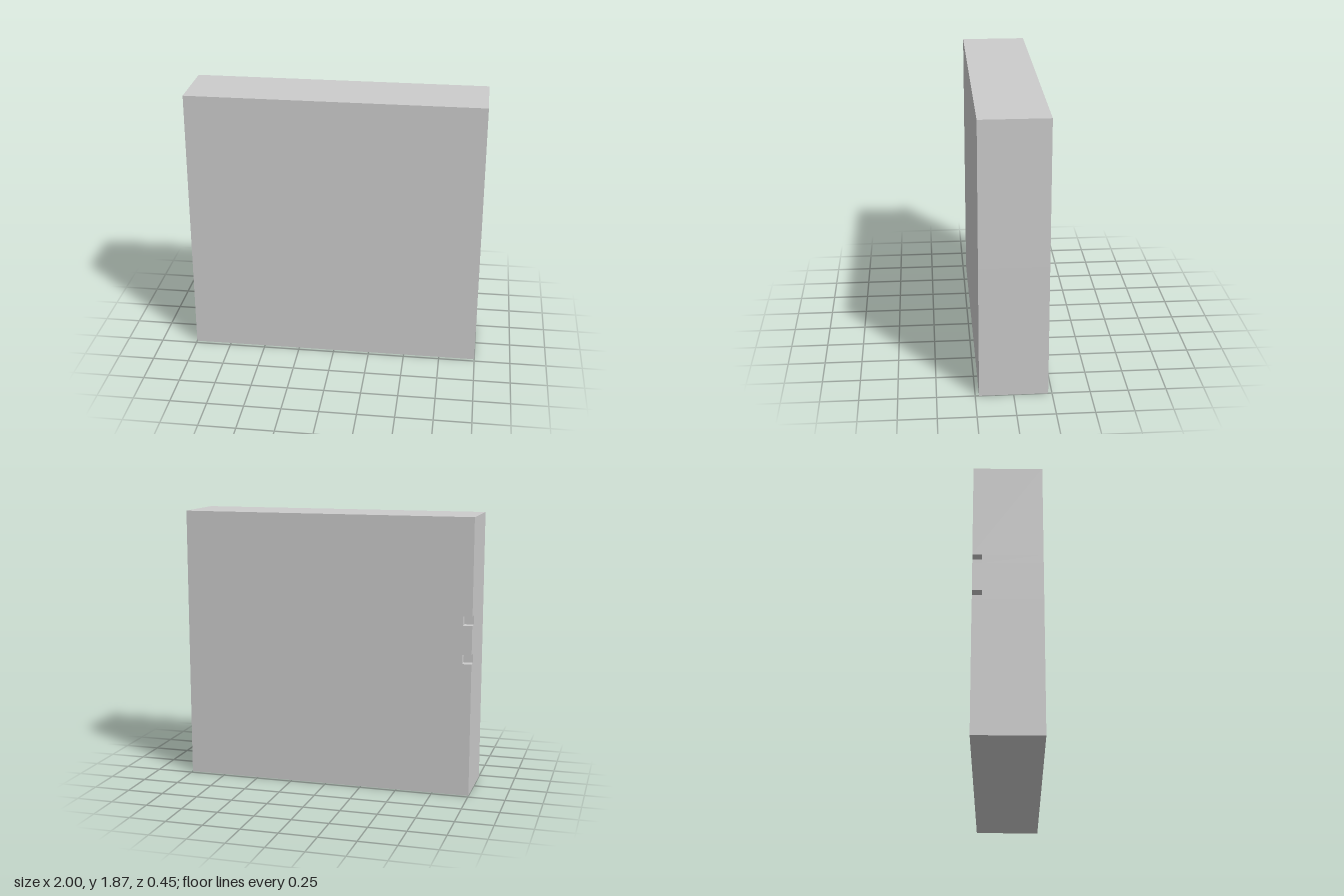
import * as THREE from 'three';

const W = 1, D = 0.225, H = 1.87; // half width, half depth, height
const N = 0.0625;                 // notch size
const NOTCHES = [0.903, 1.16];    // bottom heights of the corner notches

export function createModel() {
  const pos = [];
  const quad = (a, b, c, d) => pos.push(...a, ...b, ...c, ...a, ...c, ...d);

  // Upright walls around a footprint, between two heights
  const walls = (ring, y0, y1) => ring.forEach(([ax, az], i) => {
    const [bx, bz] = ring[(i + 1) % ring.length];
    quad([ax, y0, az], [bx, y0, bz], [bx, y1, bz], [ax, y1, az]);
  });

  // Horizontal rectangle facing up or down
  const cap = (x0, x1, z0, z1, y, up) => {
    const c = [[x0, y, z1], [x1, y, z1], [x1, y, z0], [x0, y, z0]];
    quad(...(up ? c : c.reverse()));
  };

  const full = [[-W, D], [W, D], [W, -D], [-W, -D]];
  const notched = [[-W, D], [W, D], [W, -D], [-W + N, -D], [-W + N, -D + N], [-W, -D + N]];

  // Slab with two small cube notches cut from one rear vertical edge
  let y = 0;
  for (const n of NOTCHES) {
    walls(full, y, n);
    walls(notched, n, n + N);
    cap(-W, -W + N, -D, -D + N, n, true);
    cap(-W, -W + N, -D, -D + N, n + N, false);
    y = n + N;
  }
  walls(full, y, H);
  cap(-W, W, -D, D, 0, false);
  cap(-W, W, -D, D, H, true);

  const geometry = new THREE.BufferGeometry();
  geometry.setAttribute('position', new THREE.Float32BufferAttribute(pos, 3));
  geometry.computeVertexNormals();

  const slab = new THREE.Mesh(geometry, new THREE.MeshStandardMaterial({ color: 0xcccccc, flatShading: true }));
  slab.name = 'notchedSlab';
  const group = new THREE.Group();
  group.name = 'slab';
  group.add(slab);
  return group;
}
